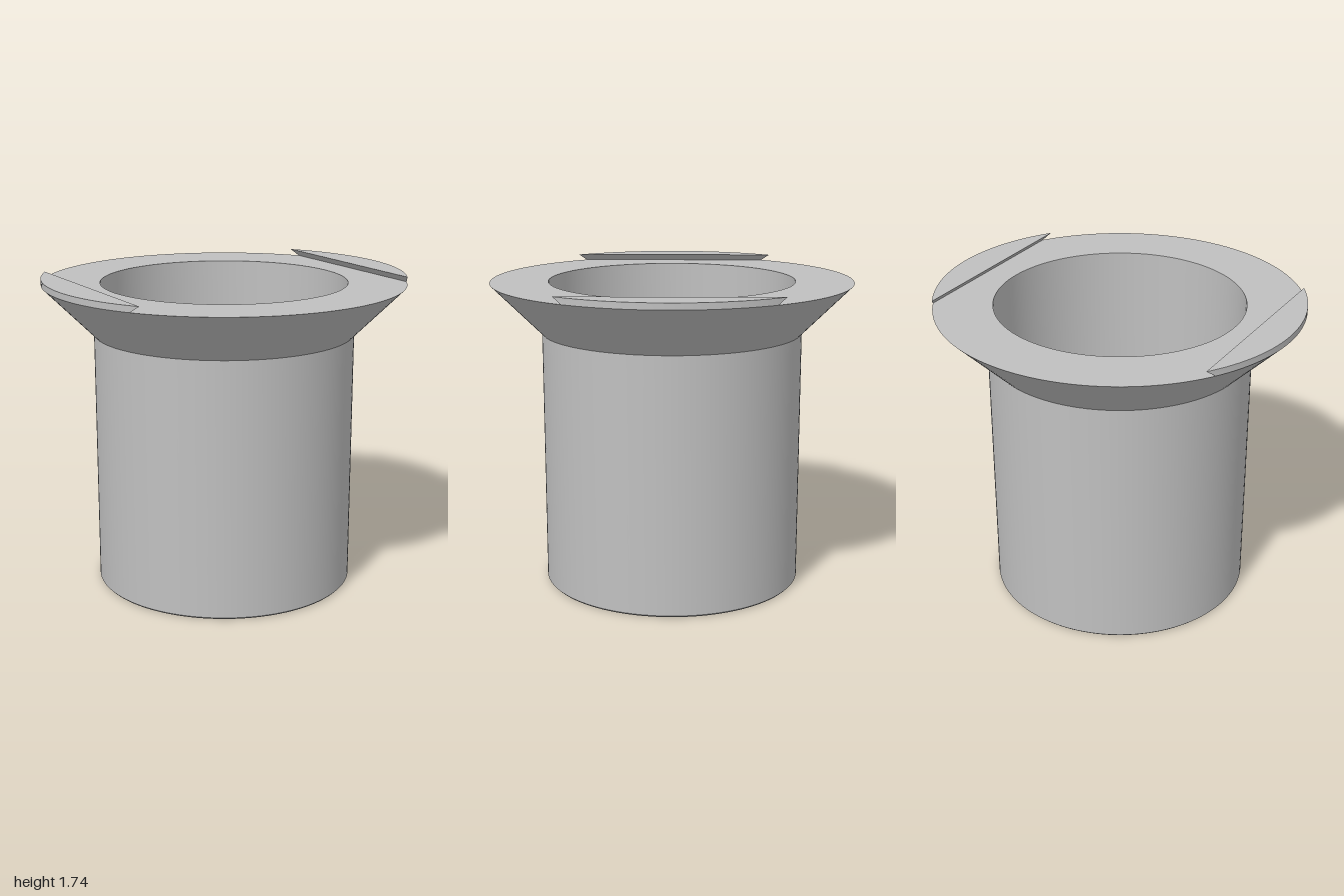
import * as THREE from 'three';
import { toCreasedNormals } from 'three/addons/utils/BufferGeometryUtils.js';

const RIM_Y = 1.7;
const TAB_HEIGHT = 0.035;

// Closed-bottom sleeve with a conical flange, as one revolved profile
function makeBody(material) {
  const profile = [
    [0, 0], [0.71, 0], [0.72, 0.01], [0.72, 1.42], [1, RIM_Y],
    [0.68, RIM_Y], [0.68, 0.04], [0, 0.04],
  ].map(([r, y]) => new THREE.Vector2(r, y));
  const mesh = new THREE.Mesh(
    toCreasedNormals(new THREE.LatheGeometry(profile, 128), 0.5), material);
  mesh.name = 'flangedCup';
  return mesh;
}

// Circle segment on the rim, with its straight edge undercut
function makeTabGeometry() {
  const topAngle = Math.acos(0.815);
  const bottomAngle = Math.acos(0.845);
  const points = [];
  for (let i = 0; i <= 32; i++) {
    const a = THREE.MathUtils.lerp(-topAngle, topAngle, i / 32);
    points.push(new THREE.Vector2(Math.cos(a), Math.sin(a)));
  }
  const geometry = new THREE.ExtrudeGeometry(new THREE.Shape(points),
    { depth: TAB_HEIGHT, bevelEnabled: false });

  // Shorten the lower arc so that the inner edge slopes
  const p = geometry.attributes.position;
  for (let i = 0; i < p.count; i++) {
    if (p.getZ(i) > TAB_HEIGHT / 2) continue;
    const a = Math.atan2(p.getY(i), p.getX(i)) * bottomAngle / topAngle;
    p.setXY(i, Math.cos(a), Math.sin(a));
  }
  geometry.rotateX(-Math.PI / 2);
  return toCreasedNormals(geometry, 0.5);
}

export function createModel() {
  const model = new THREE.Group();
  model.name = 'flangedSleeve';
  const grey = new THREE.MeshStandardMaterial({ color: 0xc0c0c0 });
  grey.name = 'grey';

  model.add(makeBody(grey));

  // Matching tabs on both sides of the rim
  const tabGeometry = makeTabGeometry();
  for (const [name, turn] of [['leftTab', 0], ['rightTab', Math.PI]]) {
    const tab = new THREE.Mesh(tabGeometry, grey);
    tab.name = name;
    tab.position.y = RIM_Y;
    tab.rotation.y = turn;
    model.add(tab);
  }
  return model;
}
